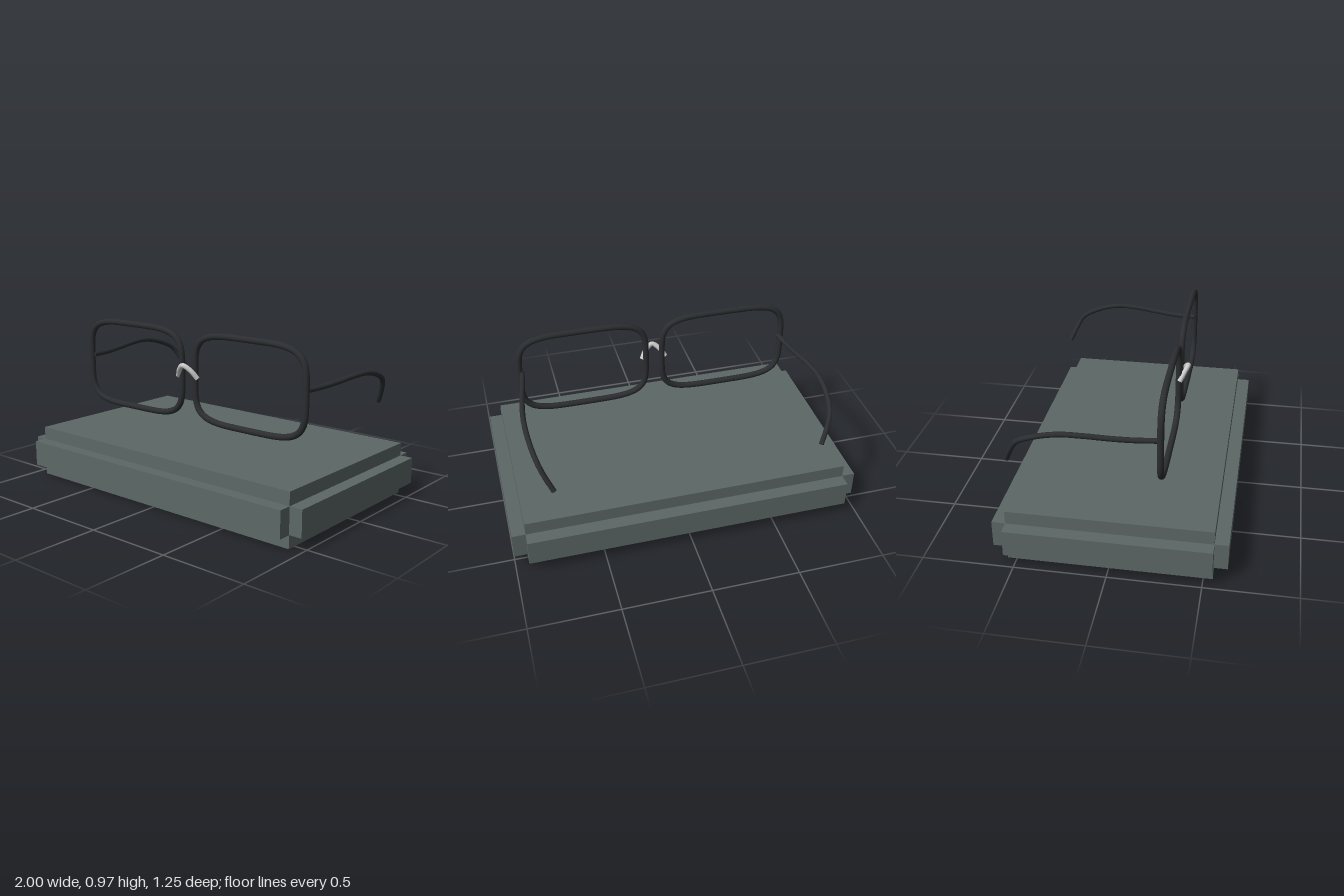
import * as THREE from 'three';

const baseMat = new THREE.MeshStandardMaterial({ color: 0x5c6866 });
const frameMat = new THREE.MeshStandardMaterial({ color: 0x2b2d30 });
const bridgeMat = new THREE.MeshStandardMaterial({ color: 0xcccccc });

const Z_FRONT = 0.25;
const toCurve = (points, closed = false) =>
  new THREE.CatmullRomCurve3(points.map((p) => new THREE.Vector3(...p)), closed);

// Round wire with flat end caps
function wire(name, curve, radius, material, segments) {
  const group = new THREE.Group();
  group.name = name;
  group.add(new THREE.Mesh(new THREE.TubeGeometry(curve, segments, radius, 12, curve.closed), material));
  if (!curve.closed) {
    for (const t of [0, 1]) {
      const cap = new THREE.Mesh(new THREE.CircleGeometry(radius, 12), material);
      const end = curve.getPoint(t);
      cap.position.copy(end);
      cap.lookAt(end.clone().addScaledVector(curve.getTangent(t), t ? 1 : -1));
      group.add(cap);
    }
  }
  return group;
}

// Squarish oval outline of one lens opening
function rimCurve(side) {
  const points = [];
  const power = 2 / 4.4;
  const bend = (v) => Math.sign(v) * Math.abs(v) ** power;
  for (let i = 0; i < 48; i++) {
    const a = (i / 48) * Math.PI * 2;
    points.push([side * 0.425 + 0.376 * bend(Math.cos(a)), 0.702 + 0.249 * bend(Math.sin(a)), Z_FRONT]);
  }
  return toCurve(points, true);
}

// Temple arm, bowed outward and hooked down behind the ear
const templePoints = [
  [0.787, 0.727, 0.25], [0.803, 0.727, 0.12], [0.82, 0.735, 0], [0.836, 0.747, -0.14],
  [0.843, 0.748, -0.26], [0.838, 0.722, -0.38], [0.818, 0.67, -0.49],
  [0.79, 0.6, -0.535], [0.75, 0.518, -0.573],
];

export function createModel() {
  const model = new THREE.Group();
  model.name = 'glassesOnPlinth';

  // Plinth: a block with a projecting band on each side, notched at the corners
  const plinth = new THREE.Group();
  plinth.name = 'plinth';
  const addBox = (name, w, h, d, x, z) => {
    const box = new THREE.Mesh(new THREE.BoxGeometry(w, h, d), baseMat);
    box.name = name;
    box.position.set(x, 0.15, z);
    plinth.add(box);
  };
  addBox('plinthBlock', 1.85, 0.3, 1.1, 0, 0);
  for (const s of [-1, 1]) {
    addBox(s > 0 ? 'frontBand' : 'backBand', 1.85, 0.15, 0.075, 0, s * 0.5875);
    addBox(s > 0 ? 'leftBand' : 'rightBand', 0.075, 0.15, 1.1, s * 0.9625, 0);
  }
  model.add(plinth);

  // Rims and temples, mirrored
  for (const s of [-1, 1]) {
    const label = s > 0 ? 'left' : 'right';
    model.add(wire(label + 'Rim', rimCurve(s), 0.018, frameMat, 128));
    const arm = toCurve(templePoints.map(([x, y, z]) => [s * x, y, z]));
    model.add(wire(label + 'Temple', arm, 0.0145, frameMat, 64));
  }

  // Nose bridge, arched up and forward
  const bridge = toCurve([
    [-0.072, 0.693, 0.257], [-0.042, 0.738, 0.28], [0, 0.765, 0.297],
    [0.042, 0.738, 0.28], [0.072, 0.693, 0.257],
  ]);
  model.add(wire('bridge', bridge, 0.0145, bridgeMat, 32));

  return model;
}
